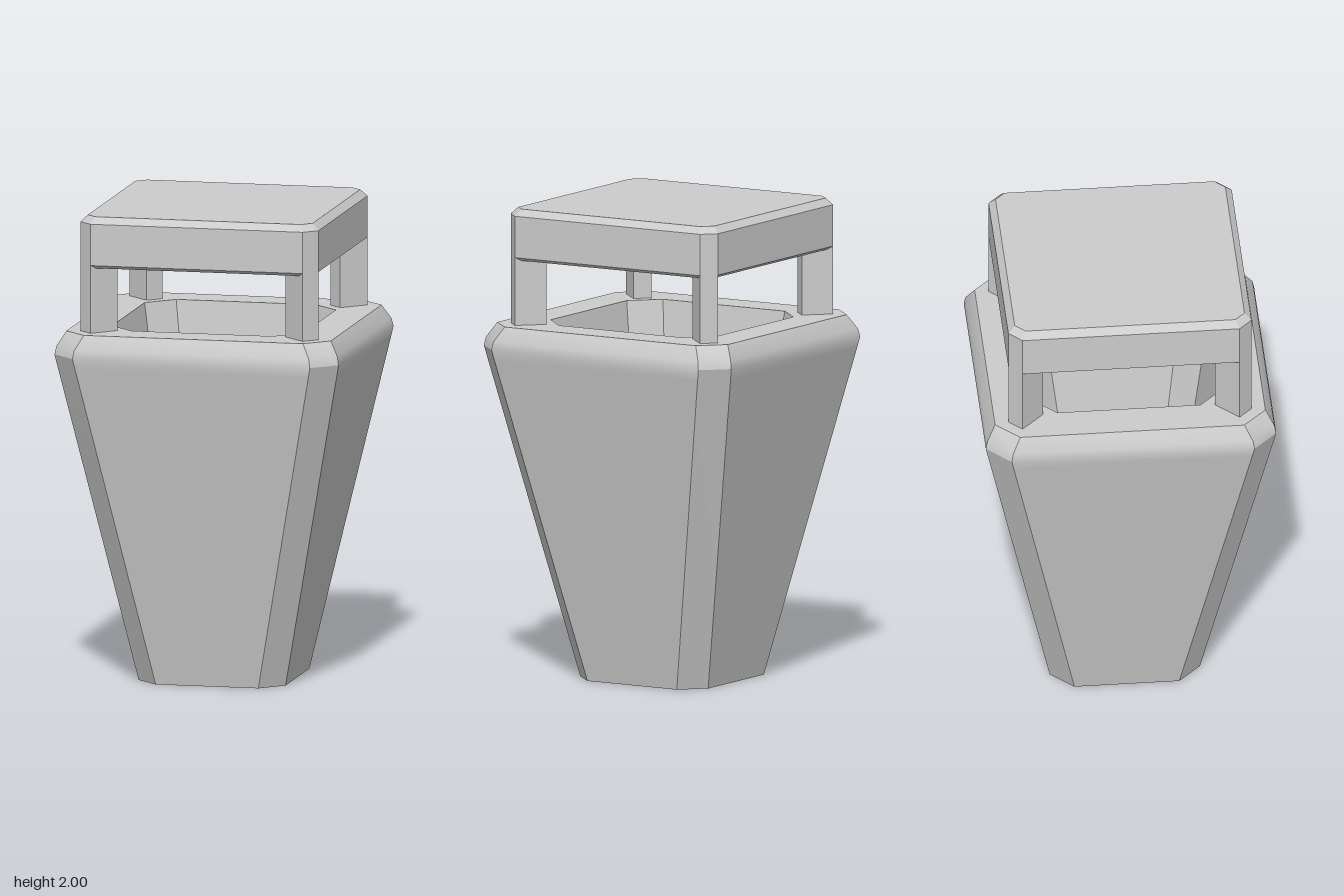
import * as THREE from 'three';
import { toCreasedNormals } from 'three/addons/utils/BufferGeometryUtils.js';

const material = new THREE.MeshStandardMaterial({ color: 0xcccccc });

// Square with cut corners: h = half width, f = half length of the straight side
const ring = ([y, h, f]) =>
  [[h, -f], [h, f], [f, h], [-f, h], [-h, f], [-h, -f], [-f, -h], [f, -h]]
    .map(([x, z]) => [x, y, z]);

// Skin a list of [y, h, f] sections, running from the underside outward and up
function loft(sections) {
  const rings = sections.map(ring);
  const pos = [];
  for (let k = 0; k < rings.length - 1; k++) {
    for (let i = 0; i < 8; i++) {
      const j = (i + 1) % 8;
      const a = rings[k][i], b = rings[k][j], c = rings[k + 1][j], d = rings[k + 1][i];
      if (sections[k + 1][1] > 0) pos.push(...a, ...d, ...c);
      if (sections[k][1] > 0) pos.push(...a, ...c, ...b);
    }
  }
  const geometry = new THREE.BufferGeometry();
  geometry.setAttribute('position', new THREE.Float32BufferAttribute(pos, 3));
  return toCreasedNormals(geometry, 0.53);
}

function addMesh(parent, name, geometry) {
  const mesh = new THREE.Mesh(geometry, material);
  mesh.name = name;
  parent.add(mesh);
  return mesh;
}

export function createModel() {
  const model = new THREE.Group();
  model.name = 'bin';

  // Tapered hollow body: recessed base, wall, rounded shoulder, rim, cavity
  addMesh(model, 'body', loft([
    [0.02, 0, 0], [0.02, 0.28, 0.18],
    [0, 0.315, 0.22],
    [1.37, 0.6, 0.5], [1.415, 0.609, 0.509], [1.45, 0.602, 0.503], [1.51, 0.567, 0.47],
    [1.51, 0.41, 0.3],
    [0.12, 0.2, 0.13], [0.12, 0, 0],
  ]));

  // Diagonal corner posts, flush with the cut corners of the cap
  const posts = new THREE.Group();
  posts.name = 'posts';
  const width = 0.055 * Math.SQRT2, depth = 0.095 * Math.SQRT2, height = 0.295;
  const reach = 0.965 / Math.SQRT2 - depth / 2;
  for (let i = 0; i < 4; i++) {
    const angle = Math.PI / 4 + i * Math.PI / 2;
    const post = addMesh(posts, 'post', new THREE.BoxGeometry(width, height, depth));
    post.position.set(Math.sin(angle) * reach, 1.505 + height / 2, Math.cos(angle) * reach);
    post.rotation.y = angle;
  }
  model.add(posts);

  // Cap with bevelled top and bottom edges
  addMesh(model, 'cap', loft([
    [1.783, 0, 0], [1.783, 0.49, 0.445],
    [1.797, 0.51, 0.455],
    [1.972, 0.51, 0.455],
    [2, 0.482, 0.44], [2, 0, 0],
  ]));

  return model;
}
